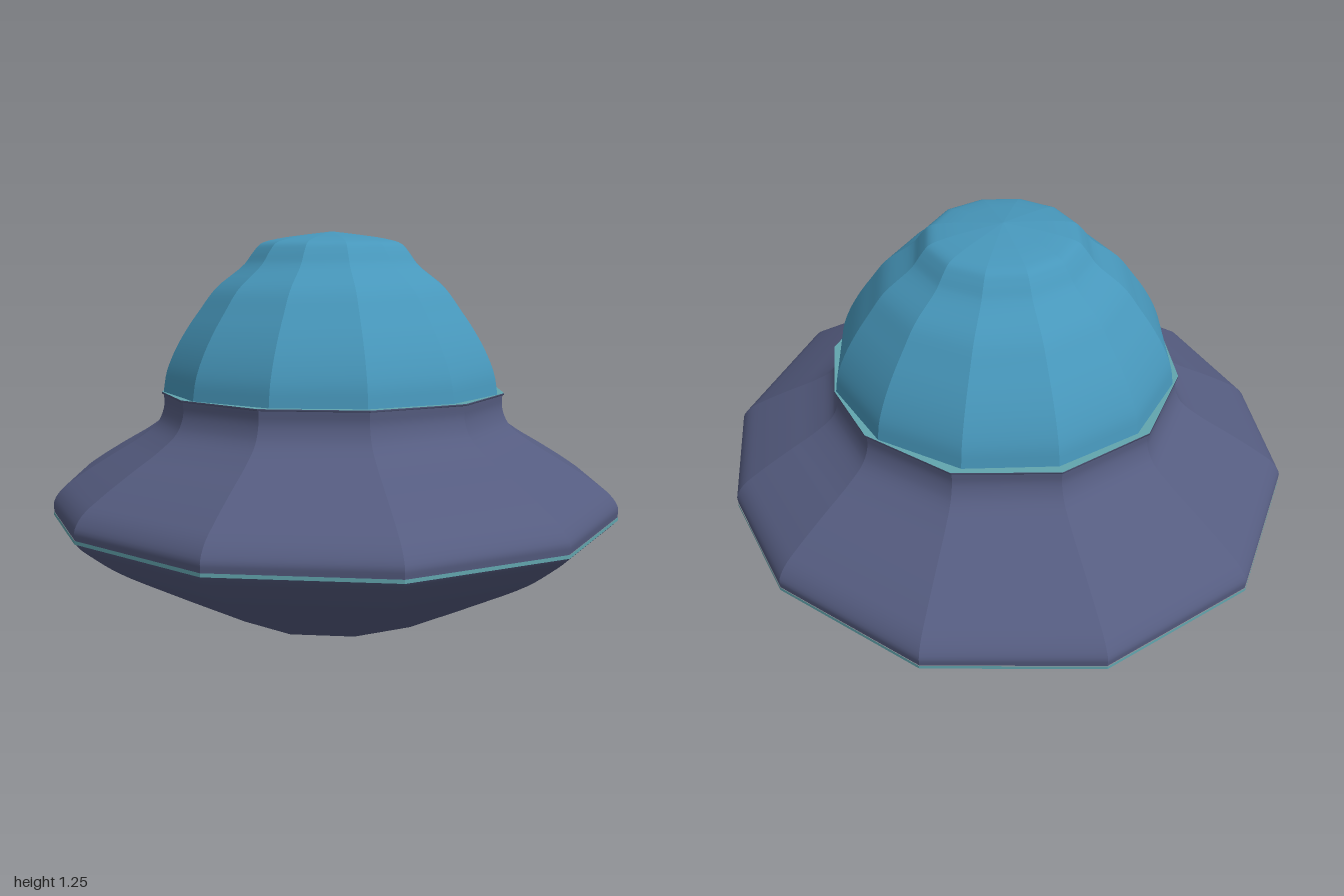
import * as THREE from 'three';

// Twelve corner directions, mirrored from one quarter, starting at +z and turning to +x
function mirrorPlan(q) {
  const plan = [];
  for (let k = 0; k < 12; k++) {
    if (k <= 3) plan.push(q[k]);
    else if (k <= 6) plan.push([q[6 - k][0], -q[6 - k][1]]);
    else if (k <= 9) plan.push([-q[k - 6][0], -q[k - 6][1]]);
    else plan.push([-q[12 - k][0], q[12 - k][1]]);
  }
  return plan;
}
const hullPlan = mirrorPlan([[0, 1], [0.557, 0.84], [0.918, 0.42], [1, 0]]);
const domePlan = mirrorPlan([[0, 1], [0.5, 0.866], [0.866, 0.5], [1, 0]]);

// Shell from rings [rx, y, rz], bottom to top: sharp between sides, smooth up each side
function facetShell(plan, rings, steps = 0) {
  let pts = rings.map(([rx, y, rz = rx]) => new THREE.Vector3(rx, y, rz));
  if (steps) pts = new THREE.CatmullRomCurve3(pts, false, 'centripetal').getPoints(steps);
  const pos = [], idx = [];
  for (let k = 0; k < 12; k++) {
    const base = pos.length / 3;
    for (const p of pts) {
      for (const c of [plan[k], plan[(k + 1) % 12]]) pos.push(c[0] * p.x, p.y, c[1] * p.z);
    }
    for (let i = 0; i < pts.length - 1; i++) {
      const a = base + i * 2;
      idx.push(a, a + 1, a + 3, a, a + 3, a + 2);
    }
  }
  const g = new THREE.BufferGeometry();
  g.setAttribute('position', new THREE.Float32BufferAttribute(pos, 3));
  g.setIndex(idx);
  g.computeVertexNormals();
  return g;
}

export function createModel() {
  const group = new THREE.Group();
  const material = (name, color) => {
    const m = new THREE.MeshStandardMaterial({ color });
    m.name = name;
    return m;
  };
  const hull = material('slate hull', 0x555c80);
  const glass = material('blue glass', 0x4797bb);
  const trim = material('pale teal trim', 0x62a5ae);
  const add = (name, geometry, mat) => {
    const mesh = new THREE.Mesh(geometry, mat);
    mesh.name = name;
    group.add(mesh);
  };

  // Flat base and lower saucer
  add('base', facetShell(hullPlan, [[0.001, 0, 0.001], [0.345, 0, 0.37]]), hull);
  add('lowerHull', facetShell(hullPlan, [
    [0.345, 0, 0.37], [0.6, 0.136, 0.655], [0.78, 0.237, 0.855],
    [0.86, 0.296, 0.94], [0.9, 0.33, 0.983], [0.913, 0.347, 0.997],
  ], 20), hull);

  // Upper saucer sweeping up into the neck
  add('upperHull', facetShell(hullPlan, [
    [0.913, 0.355, 0.997], [0.914, 0.385, 0.998], [0.89, 0.425, 0.968], [0.835, 0.467, 0.905],
    [0.735, 0.53, 0.79], [0.635, 0.59, 0.675], [0.575, 0.64, 0.606],
    [0.555, 0.69, 0.582], [0.555, 0.733, 0.582],
  ], 28), hull);

  // Thin trim around the widest edge
  add('rimStripe', facetShell(hullPlan, [[0.915, 0.345, 1], [0.915, 0.356, 1]]), trim);

  // Collar that seats the dome
  add('collarEdge', facetShell(hullPlan, [[0.55, 0.731, 0.577], [0.561, 0.731, 0.584], [0.561, 0.737, 0.584]]), hull);
  add('collarTop', facetShell(hullPlan, [[0.561, 0.737, 0.584], [0.45, 0.737, 0.45]]), trim);

  // Glass dome with a shallow raised cap
  add('dome', facetShell(domePlan, [
    [0.556, 0.735], [0.545, 0.8], [0.517, 0.87], [0.477, 0.94], [0.435, 1.0], [0.382, 1.07],
    [0.29, 1.145], [0.26, 1.185], [0.235, 1.212], [0.185, 1.227], [0.1, 1.24], [0.001, 1.252],
  ], 40), glass);

  return group;
}
